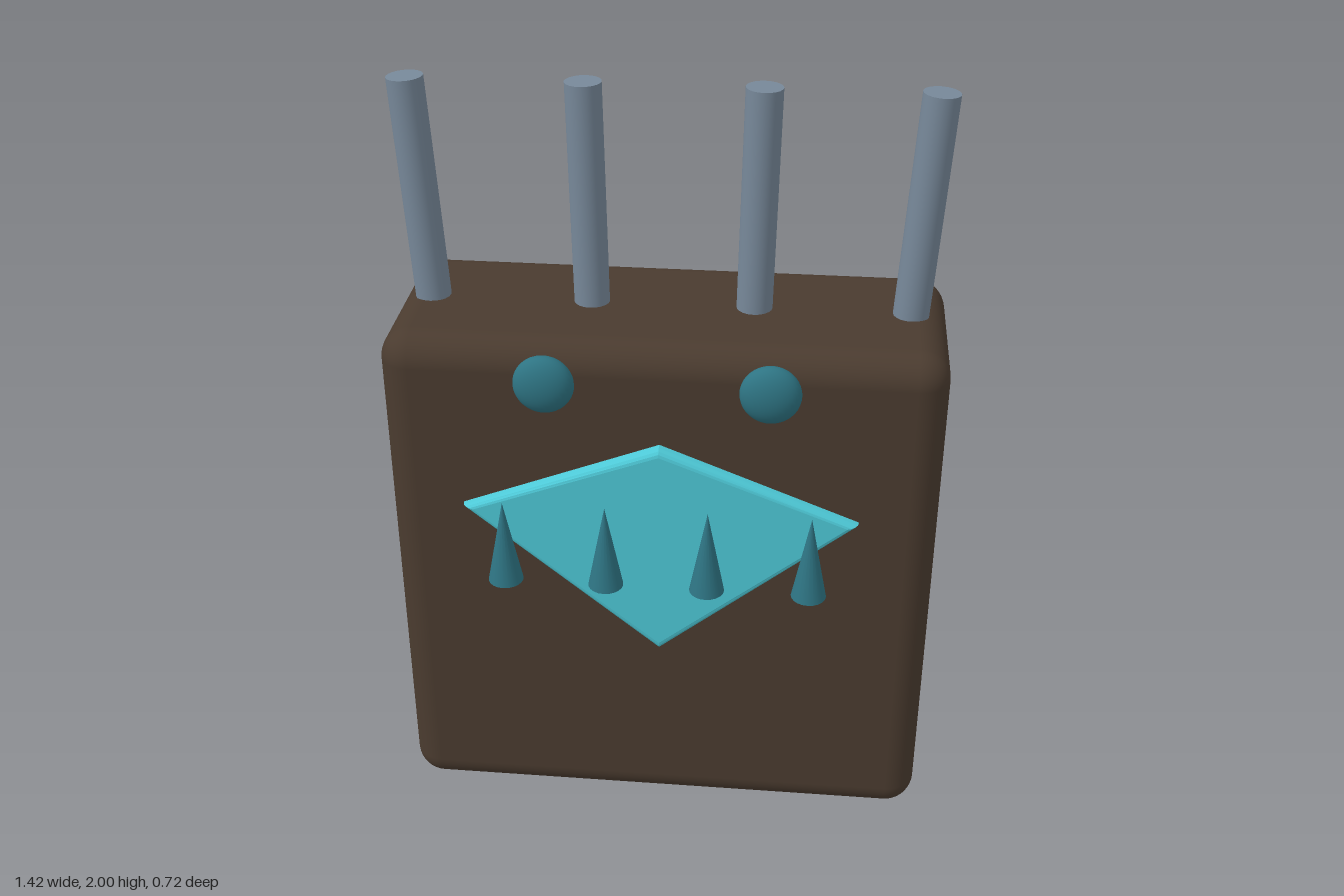
import * as THREE from 'three';
import { RoundedBoxGeometry } from 'three/addons/geometries/RoundedBoxGeometry.js';

const MID_Z = -0.055; // centre plane of the body

export function createModel() {
  const group = new THREE.Group();
  const material = (color) => new THREE.MeshStandardMaterial({ color });
  const brown = material(0x4a3b2f);
  const cyan = material(0x4dc8d6);
  const teal = material(0x2e7483);
  const steel = material(0x778899);

  function add(name, geometry, mat, x, y, z) {
    const mesh = new THREE.Mesh(geometry, mat);
    mesh.name = name;
    mesh.position.set(x, y, z);
    group.add(mesh);
    return mesh;
  }

  // Rounded slab body
  add('body', new RoundedBoxGeometry(1.42, 1.42, 0.55, 6, 0.08), brown, 0, 0.71, MID_Z);

  // Kite-shaped plate running through the body, with rounded rims front and back
  const kite = new THREE.Shape([
    new THREE.Vector2(0, 1.139),
    new THREE.Vector2(-0.48, 0.957),
    new THREE.Vector2(0, 0.565),
    new THREE.Vector2(0.48, 0.957),
  ]);
  const plate = new THREE.ExtrudeGeometry(kite, {
    depth: 0.56, bevelEnabled: true, bevelSize: 0.02, bevelThickness: 0.025, bevelSegments: 4,
  });
  plate.translate(0, 0, -0.28);
  add('kitePlate', plate, cyan, 0, 0, MID_Z);

  // Four rods fanning slightly outwards from the top
  const rodLength = 0.62;
  const rod = new THREE.CylinderGeometry(0.046, 0.046, rodLength, 20);
  rod.translate(0, -rodLength / 2, 0);
  for (const [x, tilt] of [[-0.647, 0.054], [-0.211, 0.017], [0.226, -0.017], [0.644, -0.054]]) {
    add('topRod', rod, steel, x, 1.998, MID_Z).rotation.z = tilt;
  }

  // Flattened eyes
  const eye = new THREE.SphereGeometry(0.076, 32, 20);
  eye.scale(1, 1, 0.55);
  for (const x of [-0.28, 0.275]) add('eye', eye, teal, x, 1.34, 0.262);

  // Row of pointed teeth in front of the plate
  const tooth = new THREE.ConeGeometry(0.045, 0.23, 20);
  for (const x of [-0.39, -0.13, 0.13, 0.39]) add('tooth', tooth, teal, x, 0.905, 0.31);

  return group;
}
